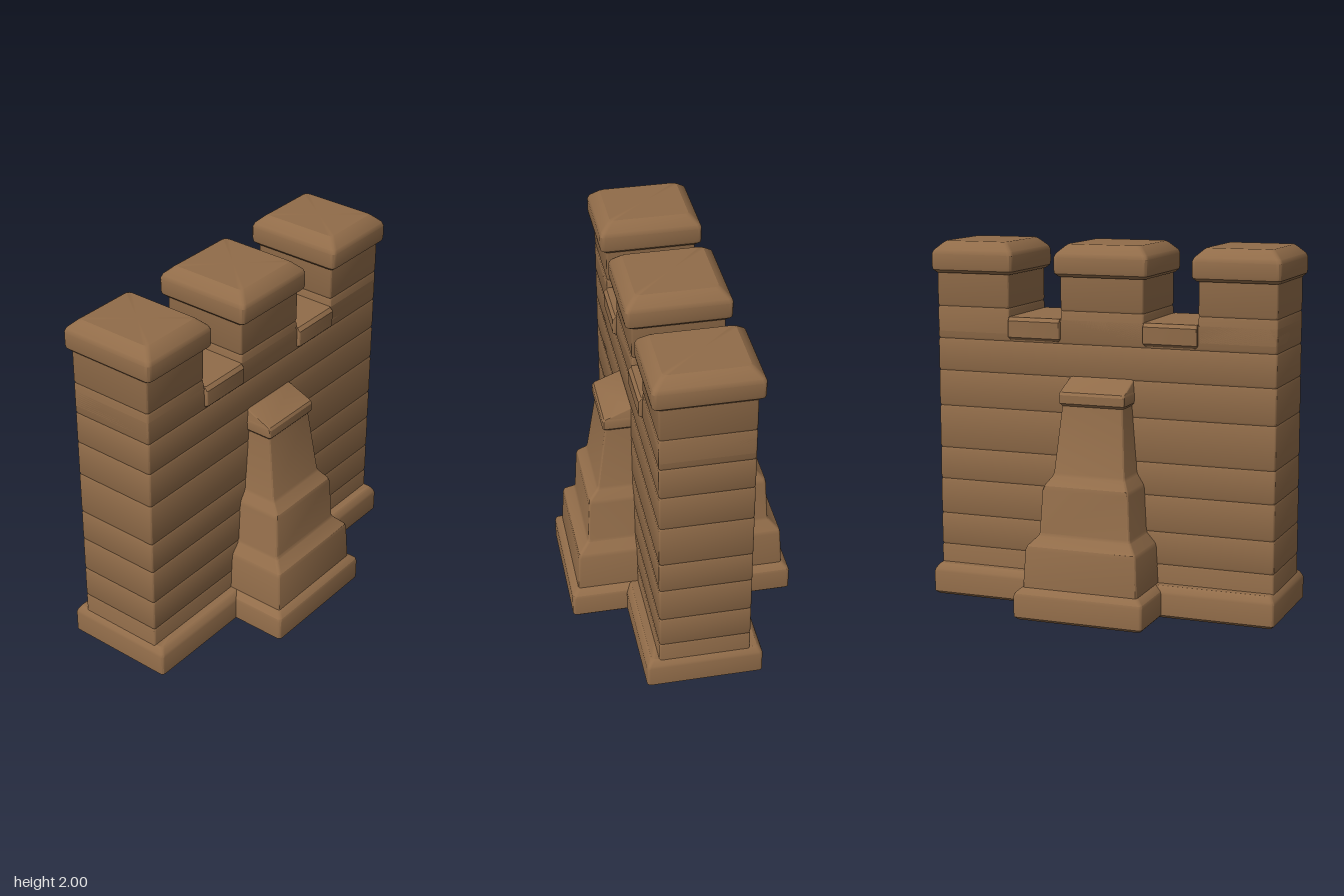
import * as THREE from 'three';
import { toCreasedNormals } from 'three/addons/utils/BufferGeometryUtils.js';

const STEPS = 3; // segments per rounded corner

// Stack of rounded rectangles; each row is [y, halfWidth, halfDepth]
function loft(rows, radius) {
  const pos = [], index = [], n = 4 * (STEPS + 1);
  for (const [y, hx, hz] of rows) {
    for (let q = 0; q < 4; q++) {
      const sx = q === 0 || q === 3 ? 1 : -1, sz = q < 2 ? 1 : -1;
      for (let s = 0; s <= STEPS; s++) {
        const a = (q + s / STEPS) * Math.PI / 2;
        pos.push(sx * (hx - radius) + Math.cos(a) * radius, y, sz * (hz - radius) + Math.sin(a) * radius);
      }
    }
  }
  for (let r = 0; r < rows.length - 1; r++) {
    for (let i = 0; i < n; i++) {
      const a = r * n + i, b = r * n + (i + 1) % n;
      index.push(a, a + n, b, b, a + n, b + n);
    }
  }
  // closed bottom and top
  const last = (rows.length - 1) * n, c = pos.length / 3;
  pos.push(0, rows[0][0], 0, 0, rows[rows.length - 1][0], 0);
  for (let i = 0; i < n; i++) {
    const j = (i + 1) % n;
    index.push(c, i, j, c + 1, last + j, last + i);
  }
  const g = new THREE.BufferGeometry();
  g.setAttribute('position', new THREE.Float32BufferAttribute(pos, 3));
  g.setIndex(index);
  return toCreasedNormals(g, 0.5);
}

// Rows for a straight wall with shallow joints between stone courses
function courses(y0, y1, hx, hz, joints) {
  const rows = [[y0, hx, hz]];
  for (const y of joints) rows.push([y - 0.012, hx, hz], [y, hx - 0.004, hz - 0.004], [y + 0.012, hx, hz]);
  rows.push([y1, hx, hz]);
  return rows;
}

// Footing with softened lower edge and sloped upper edge
const footing = (hx, hz, slope) => [
  [0, hx - 0.015, hz - 0.015], [0.015, hx, hz], [0.13, hx, hz],
  [0.145, hx - 0.005, hz - 0.005], [0.168, hx - slope, hz - slope], [0.175, hx - slope - 0.01, hz - slope - 0.01],
];

export function createModel() {
  const model = new THREE.Group();
  const stone = new THREE.MeshStandardMaterial({ color: 0x916c49 });
  stone.name = 'brown stone';

  const add = (name, rows, radius, x = 0) => {
    const mesh = new THREE.Mesh(loft(rows, radius), stone);
    mesh.name = name;
    mesh.position.x = x;
    model.add(mesh);
  };

  // Main wall and its footing
  add('wall', courses(0.1, 1.59, 0.978, 0.25, [0.28, 0.46, 0.66, 0.84, 1.08, 1.28, 1.46]), 0.012);
  add('wallFooting', footing(1, 0.32, 0.02), 0.02);

  // Buttress running through the wall, stepping inward as it rises
  add('buttressFooting', footing(0.37, 0.63, 0.03), 0.02);
  add('buttress', [
    [0.1, 0.33, 0.592], [0.18, 0.328, 0.59], [0.38, 0.317, 0.58], [0.4, 0.31, 0.575],
    [0.45, 0.265, 0.522], [0.465, 0.26, 0.515], [0.7, 0.247, 0.503], [0.722, 0.24, 0.498],
    [0.768, 0.21, 0.452], [0.785, 0.204, 0.444], [1.16, 0.174, 0.39],
  ], 0.016);
  add('buttressCap', [
    [1.145, 0.175, 0.392], [1.16, 0.188, 0.405], [1.205, 0.19, 0.405],
    [1.22, 0.187, 0.396], [1.275, 0.184, 0.265], [1.29, 0.175, 0.24],
  ], 0.014);

  // Merlons with chamfered cap stones
  const merlons = [['right', -0.761, 0.217, -0.756, 0.244], ['middle', 0, 0.24, 0, 0.27], ['left', 0.761, 0.217, 0.756, 0.244]];
  for (const [side, x, hx, capX, capHx] of merlons) {
    add(side + 'Merlon', courses(1.5, 1.86, hx, 0.25, [1.64]), 0.012, x);
    add(side + 'MerlonCap', [
      [1.825, capHx - 0.02, 0.262], [1.842, capHx - 0.003, 0.282], [1.86, capHx, 0.285],
      [1.93, capHx, 0.285], [1.95, capHx - 0.008, 0.277], [1.99, capHx - 0.048, 0.235], [2, capHx - 0.062, 0.22],
    ], 0.025, capX);
  }

  // Sills in the gaps between merlons
  for (const s of [-1, 1]) {
    add(s < 0 ? 'rightSill' : 'leftSill', [
      [1.47, 0.145, 0.255], [1.485, 0.153, 0.27], [1.575, 0.153, 0.272], [1.595, 0.15, 0.255],
    ], 0.012, s * 0.392);
  }
  return model;
}
